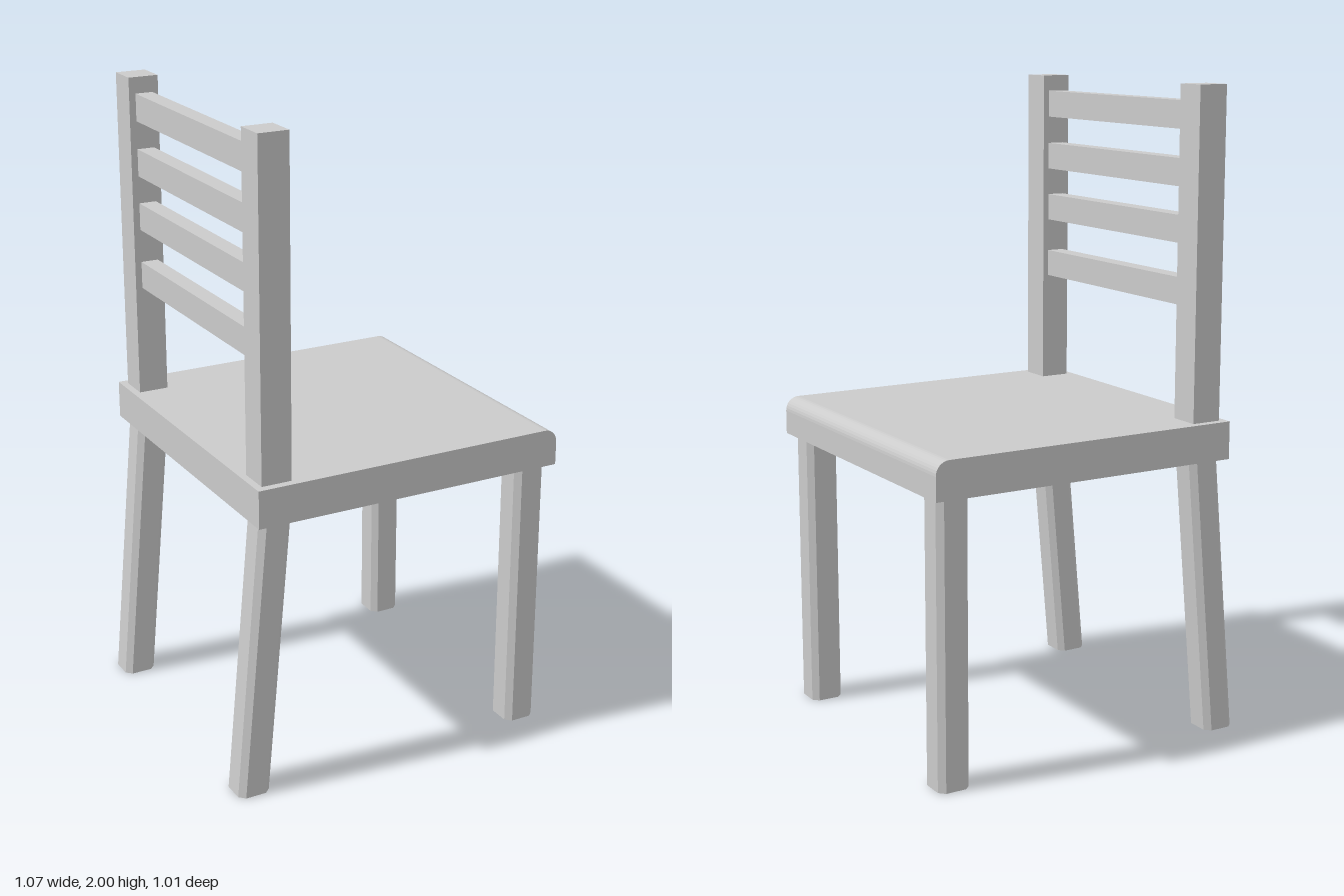
import * as THREE from 'three';

const material = new THREE.MeshStandardMaterial({ color: 0xcccccc, flatShading: true });
const SEAT_BOTTOM = 0.878, SEAT_TOP = 0.995;

function addMesh(parent, name, geometry) {
  const mesh = new THREE.Mesh(geometry, material);
  mesh.name = name;
  parent.add(mesh);
  return mesh;
}

// Box given by its limits on each axis
function addBox(parent, name, [x0, x1], [y0, y1], [z0, z1]) {
  const mesh = addMesh(parent, name, new THREE.BoxGeometry(x1 - x0, y1 - y0, z1 - z0));
  mesh.position.set((x0 + x1) / 2, (y0 + y1) / 2, (z0 + z1) / 2);
}

// Square bar with chamfered corners; the foot is shifted by splay along x
function legGeometry(splay) {
  const h = 0.051, c = h - 0.018;
  const outline = [[h, -c], [h, c], [c, h], [-c, h], [-h, c], [-h, -c], [-c, -h], [c, -h]];
  const shape = new THREE.Shape(outline.map(([x, y]) => new THREE.Vector2(x, y)));
  const geometry = new THREE.ExtrudeGeometry(shape, { depth: SEAT_BOTTOM, bevelEnabled: false });
  geometry.rotateX(-Math.PI / 2);
  const shear = new THREE.Matrix4().set(
    1, -splay / SEAT_BOTTOM, 0, splay,
    0, 1, 0, 0,
    0, 0, 1, 0,
    0, 0, 0, 1);
  geometry.applyMatrix4(shear);
  geometry.computeVertexNormals();
  return geometry;
}

// Seat board with a rounded upper front edge
function seatGeometry() {
  const back = -0.476, front = 0.533, r = 0.043, halfWidth = 0.505;
  const shape = new THREE.Shape();
  shape.moveTo(back, SEAT_BOTTOM);
  shape.lineTo(front, SEAT_BOTTOM);
  shape.lineTo(front, SEAT_TOP - r);
  shape.absarc(front - r, SEAT_TOP - r, r, 0, Math.PI / 2, false);
  shape.lineTo(back, SEAT_TOP);
  shape.closePath();
  const geometry = new THREE.ExtrudeGeometry(shape, {
    depth: 2 * halfWidth, bevelEnabled: false, curveSegments: 4,
  });
  return geometry.translate(0, 0, -halfWidth);
}

export function createModel() {
  const chair = new THREE.Group();
  chair.name = 'chair';

  addMesh(chair, 'seat', seatGeometry());

  // Legs and back posts, mirrored across the chair
  for (const side of [1, -1]) {
    const suffix = side > 0 ? 'A' : 'B';
    const z = side * 0.431;
    addMesh(chair, 'frontLeg' + suffix, legGeometry(0)).position.set(0.462, 0, z);
    addMesh(chair, 'backLeg' + suffix, legGeometry(-0.079)).position.set(-0.407, 0, z);
    addBox(chair, 'backPost' + suffix, [-0.454, -0.359], [SEAT_TOP, 2], [z - 0.049, z + 0.049]);
  }

  // Horizontal slats of the backrest
  const backrest = new THREE.Group();
  backrest.name = 'backrestSlats';
  chair.add(backrest);
  [1.382, 1.569, 1.738, 1.908].forEach((y, i) => {
    addBox(backrest, 'slat' + (i + 1), [-0.433, -0.378], [y - 0.042, y + 0.042], [-0.383, 0.383]);
  });

  return chair;
}
